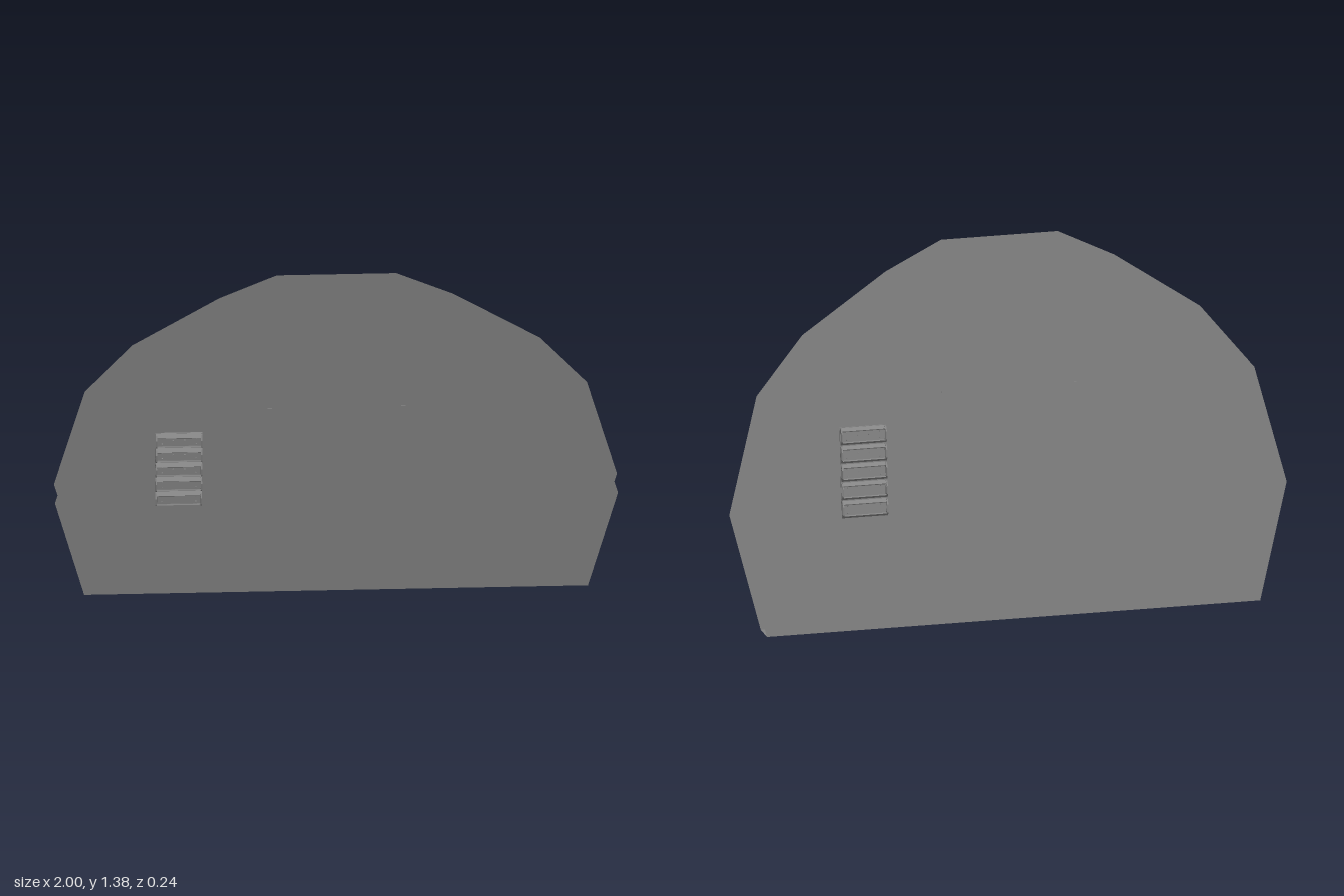
import * as THREE from 'three';

const DEPTH = 0.105;
const mat = new THREE.MeshStandardMaterial({ color: 0x868686, flatShading: true, side: THREE.DoubleSide });

function add(parent, name, geometry, x = 0, y = 0, z = 0) {
  const mesh = new THREE.Mesh(geometry, mat);
  mesh.name = name;
  mesh.position.set(x, y, z);
  parent.add(mesh);
  return mesh;
}

// Right half of an arch, completed by mirroring
const mirrored = (half) => [...half, ...half.slice().reverse().map(([x, y]) => [-x, y])];
const points = (list) => list.map(([x, y]) => new THREE.Vector2(x, y));

// Thin strip following a path and bridging the gap between the two sheets
function strip(path) {
  const v = [];
  for (let i = 0; i < path.length - 1; i++) {
    const [ax, ay] = path[i], [bx, by] = path[i + 1];
    v.push(ax, ay, 0, ax, ay, -DEPTH, bx, by, -DEPTH);
    v.push(ax, ay, 0, bx, by, -DEPTH, bx, by, 0);
  }
  const g = new THREE.BufferGeometry();
  g.setAttribute('position', new THREE.Float32BufferAttribute(v, 3));
  g.computeVertexNormals();
  return g;
}

// One louvred unit: pierced end cheeks, sloping rails, recessed face and studs
function louvre(index) {
  const g = new THREE.Group();
  g.name = 'louvre';
  const w = 0.165;
  const cheek = new THREE.Shape(points([
    [0, -0.03], [0.012, -0.03], [0.023, -0.017], [0.025, 0.013], [0.014, 0.03], [0, 0.03],
  ]));
  cheek.holes.push(new THREE.Path(points([[0.008, -0.018], [0.008, 0.018], [0.018, 0.011], [0.017, -0.012]])));
  const cheekGeo = new THREE.ExtrudeGeometry(cheek, { depth: 0.005, bevelEnabled: false });
  cheekGeo.rotateY(-Math.PI / 2);
  for (const x of [-w / 2 + 0.005, w / 2]) add(g, 'louvreCheek', cheekGeo, x, 0, 0);
  for (const s of [-1, 1]) {
    const rail = add(g, 'louvreRail', new THREE.BoxGeometry(w - 0.01, 0.004, 0.018), 0, s * 0.025, 0.01);
    rail.rotation.x = s * 0.6;
  }
  const face = add(g, 'louvreFace', new THREE.BoxGeometry(w - 0.012, 0.042, 0.003), 0, 0, 0.0065);
  face.rotation.x = -0.05;
  const stud = new THREE.CylinderGeometry(0.003, 0.003, 0.006, 6).rotateX(Math.PI / 2);
  for (const x of [-0.06, 0.06]) {
    for (const y of [-0.013, 0.013]) add(g, 'stud', stud, x, y, 0.01);
  }
  if (index > 1) for (const x of [-0.02, 0.02]) add(g, 'knob', stud, x, 0.003, 0.01);
  return g;
}

// Column of five louvres on a backing plate
function louvreBank() {
  const bank = new THREE.Group();
  bank.name = 'louvreBank';
  add(bank, 'bankBacking', new THREE.BoxGeometry(0.168, 0.333, 0.004), 0, 0, 0.002);
  for (let i = 0; i < 5; i++) {
    const unit = louvre(i);
    unit.position.y = (i - 2) * 0.067;
    bank.add(unit);
  }
  return bank;
}

export function createModel() {
  const model = new THREE.Group();
  model.name = 'archedPanel';
  const body = new THREE.Group();
  body.name = 'tiltedBody';
  body.rotation.x = 0.1;
  body.position.z = -0.0165;
  model.add(body);

  // Outer arched sheets
  const outline = mirrored([[0.895, 0], [1, 0.428], [0.892, 0.856], [0.722, 1.067], [0.415, 1.278], [0.212, 1.379]]);
  const sheet = new THREE.ShapeGeometry(new THREE.Shape(points(outline)));
  add(body, 'frontSheet', sheet);
  add(body, 'backSheet', sheet, 0, 0, -DEPTH);

  // Inset arch joining the sheets, open to the outside edge
  const inner = mirrored([[0.58, 0], [0.65, 0.483], [0.58, 0.77], [0.475, 0.9], [0.27, 1.04], [0.14, 1.105]]);
  add(body, 'innerArch', strip(inner));

  // Upright dividers and the floor of one side bay
  for (const x of [-0.28, 0.28]) add(body, 'divider', strip([[x, 0], [x, 1.033]]));
  add(body, 'sideBayFloor', strip([[0.58, 0], [0.895, 0]]));

  // Louvre banks, one on each face
  const front = louvreBank();
  front.position.set(-0.56, 0.58, 0);
  const back = louvreBank();
  back.position.set(0.532, 0.58, -DEPTH);
  back.rotation.y = Math.PI;
  body.add(front, back);

  // Small flat hooks on both faces
  const hook = new THREE.BoxGeometry(0.016, 0.005, 0.003);
  for (const x of [-0.238, 0.235]) {
    add(body, 'frontHook', hook, x, 0.85, 0.001);
    add(body, 'backHook', hook, x, 0.85, -DEPTH - 0.001);
  }
  return model;
}
